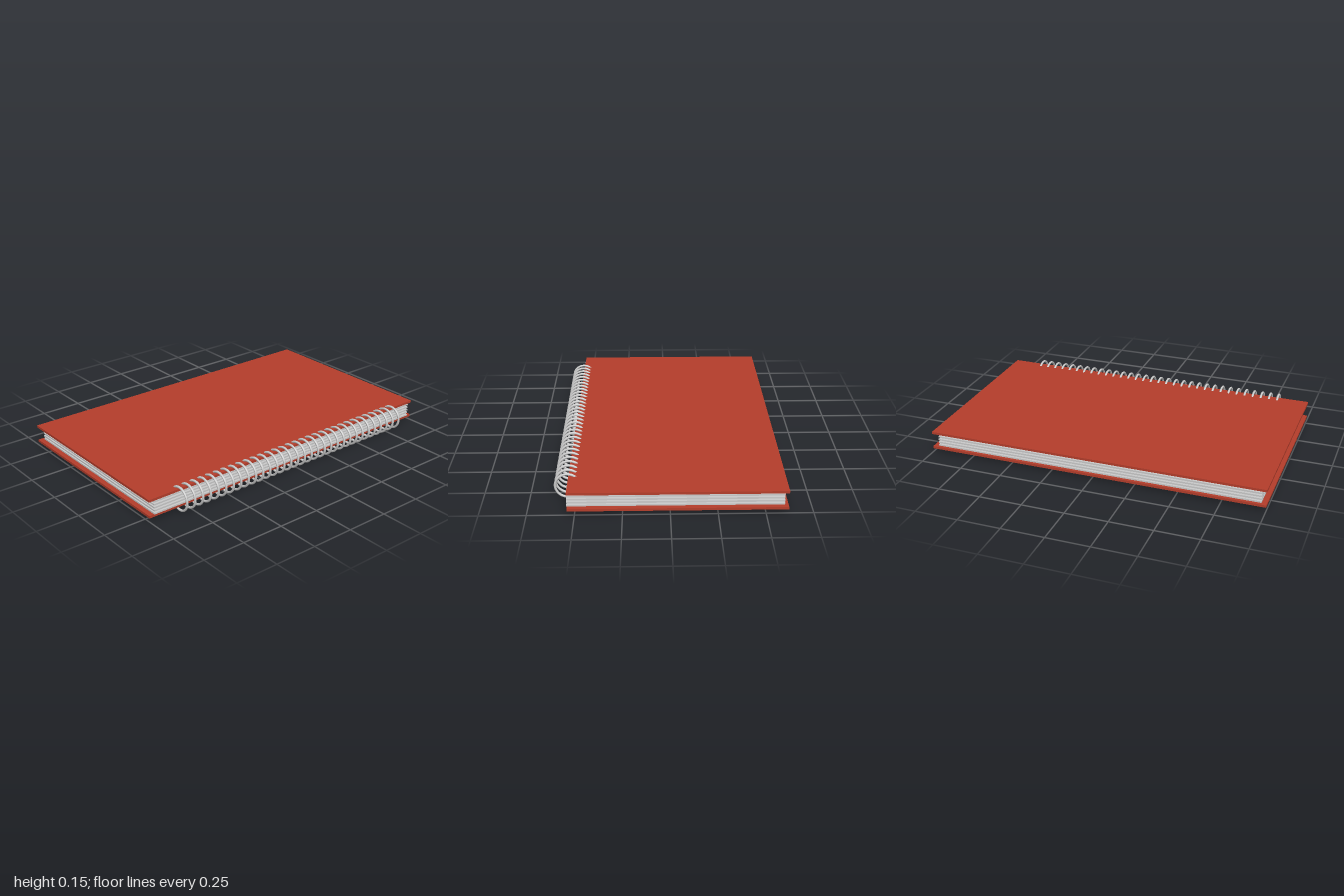
import * as THREE from 'three';

export function createModel() {
  const model = new THREE.Group();
  model.name = 'spiralNotebook';
  const red = new THREE.MeshStandardMaterial({ color: 0xb53e2b });
  const grey = new THREE.MeshStandardMaterial({ color: 0xcccccc });

  // Box given by its half width and its y and z ranges
  const slab = (name, halfX, y0, y1, z0, z1, material, parent) => {
    const mesh = new THREE.Mesh(new THREE.BoxGeometry(2 * halfX, y1 - y0, z1 - z0), material);
    mesh.position.set(0, (y0 + y1) / 2, (z0 + z1) / 2);
    mesh.name = name;
    parent.add(mesh);
  };

  // Covers
  slab('bottomCover', 1, 0.021, 0.035, -0.62, 0.54, red, model);
  slab('topCover', 1, 0.115, 0.129, -0.62, 0.54, red, model);

  // Page block: alternating wide and narrow layers
  const pages = new THREE.Group();
  pages.name = 'pages';
  model.add(pages);
  const layers = 9, thickness = 0.08 / layers;
  for (let i = 0; i < layers; i++) {
    const y = 0.035 + i * thickness;
    const inset = i % 2 ? 0.014 : 0;
    slab('pageLayer', 0.97 - inset, y, y + thickness, -0.602 + inset, 0.543 - inset, grey, pages);
  }

  // Wire binding: a row of rings along the front edge
  const binding = new THREE.Group();
  binding.name = 'wireBinding';
  model.add(binding);
  const ringGeometry = new THREE.TorusGeometry(0.067, 0.007, 10, 40).rotateY(Math.PI / 2);
  const count = 32;
  for (let i = 0; i < count; i++) {
    const ring = new THREE.Mesh(ringGeometry, grey);
    ring.name = 'bindingRing';
    ring.position.set(-0.81 + (1.62 * i) / (count - 1), 0.074, 0.546);
    binding.add(ring);
  }
  return model;
}
